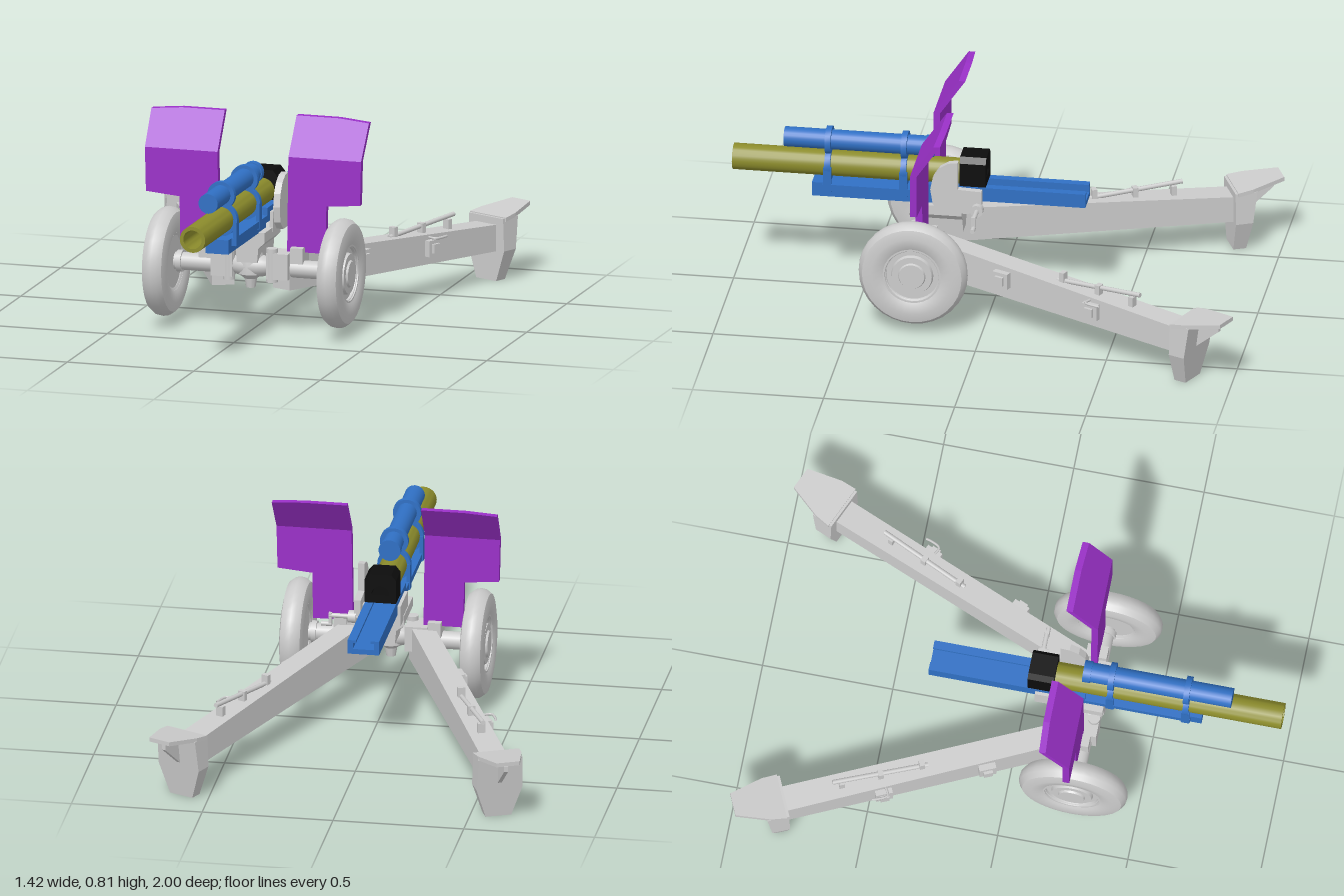
import * as THREE from 'three';
import { toCreasedNormals } from 'three/addons/utils/BufferGeometryUtils.js';

const mat = (color) => new THREE.MeshStandardMaterial({ color, side: THREE.DoubleSide });
const grey = mat(0xcccccc), blue = mat(0x3070c4), olive = mat(0x8c8c2c);
const purple = mat(0x9a30c8), black = mat(0x0c0c0c);
const V2 = (pts) => pts.map(([x, y]) => new THREE.Vector2(x, y));

function add(parent, name, geo, material, x = 0, y = 0, z = 0) {
  const mesh = new THREE.Mesh(geo, material);
  mesh.name = name;
  mesh.position.set(x, y, z);
  parent.add(mesh);
  return mesh;
}
const box = (w, h, d) => new THREE.BoxGeometry(w, h, d);
const lathe = (pts, seg = 28) => toCreasedNormals(new THREE.LatheGeometry(V2(pts), seg), 0.6);
const rodZ = (r, len, seg = 24) => new THREE.CylinderGeometry(r, r, len, seg).rotateX(Math.PI / 2);
const rodX = (r, len, seg = 20) => new THREE.CylinderGeometry(r, r, len, seg).rotateZ(Math.PI / 2);
const plate = (pts, depth) => new THREE.ExtrudeGeometry(new THREE.Shape(V2(pts)), { depth, bevelEnabled: false });
// Hollow sleeve along z
const sleeve = (ro, ri, len) => lathe([[ri, 0], [ro, 0], [ro, len], [ri, len], [ri, 0]]).rotateX(Math.PI / 2);

function moveVertices(geo, rule) {
  const p = geo.attributes.position, v = new THREE.Vector3();
  for (let i = 0; i < p.count; i++) {
    rule(v.fromBufferAttribute(p, i));
    p.setXYZ(i, v.x, v.y, v.z);
  }
  geo.computeVertexNormals();
  return geo;
}

function gun() {
  const g = new THREE.Group();
  g.name = 'gun';
  g.position.x = -0.005;
  add(g, 'barrel', sleeve(0.05, 0.036, 0.89), olive, 0, 0.507, 0.11);

  // Breech block, lower half of the bore closed
  const s = new THREE.Shape(V2([[-0.06, 0.472], [0.06, 0.472], [0.06, 0.565], [0.042, 0.587], [-0.042, 0.587], [-0.06, 0.565]]));
  const hole = new THREE.Path();
  hole.absarc(0, 0.505, 0.034, 0, Math.PI, false);
  s.holes.push(hole);
  add(g, 'breech', new THREE.ExtrudeGeometry(s, { depth: 0.1, bevelEnabled: false }), black, 0, 0, 0.03);

  add(g, 'recoilCylinder', rodZ(0.038, 0.57), blue, 0, 0.603, 0.52);
  add(g, 'recoilCylinderCap', rodZ(0.042, 0.03), blue, 0, 0.603, 0.25);

  // Cradle under the barrel and the open slide behind it
  add(g, 'cradle', box(0.09, 0.055, 0.47), blue, 0, 0.413, 0.46);
  add(g, 'slideFloor', box(0.12, 0.02, 0.6), blue, 0, 0.425, -0.05);
  for (const k of [-1, 1]) {
    add(g, 'slideRail', box(0.02, 0.055, 0.6), blue, k * 0.05, 0.4425, -0.05);
    add(g, 'slideLip', box(0.03, 0.01, 0.6), blue, k * 0.043, 0.465, -0.05);
    add(g, 'cradleRail', box(0.014, 0.025, 0.4), blue, k * 0.052, 0.428, 0.45);
  }

  // Clamps tying recoil cylinder, barrel and cradle together
  for (const z of [0.345, 0.635]) {
    add(g, 'upperClamp', sleeve(0.054, 0.036, 0.022), blue, 0, 0.6, z - 0.011);
    add(g, 'lowerClamp', sleeve(0.064, 0.049, 0.022), blue, 0, 0.507, z - 0.011);
    for (const k of [-1, 1]) add(g, 'clampCheek', box(0.014, 0.1, 0.03), blue, k * 0.056, 0.46, z);
    add(g, 'clampFoot', box(0.12, 0.03, 0.035), blue, 0, 0.425, z);
  }
  return g;
}

function carriage() {
  const g = new THREE.Group();
  g.name = 'carriage';
  // Saddle turning on a central pivot
  add(g, 'saddle', plate([[-0.08, 0.388], [-0.08, 0.35], [-0.05, 0.325], [-0.045, 0.27], [0.035, 0.27],
    [0.04, 0.325], [0.065, 0.35], [0.065, 0.388]], 0.2), grey, 0, 0, 0.12);
  for (const x of [-0.07, 0.06]) add(g, 'saddleCheek', box(0.015, 0.08, 0.16), grey, x, 0.41, 0.14);
  add(g, 'pivotPin', lathe([[0, 0.165], [0.018, 0.165], [0.024, 0.2], [0.05, 0.22], [0.05, 0.285], [0.035, 0.32], [0, 0.32]], 20),
    grey, -0.005, 0, 0.27);
  add(g, 'pivotHousing', new THREE.SphereGeometry(1, 20, 12).scale(0.1, 0.045, 0.05), grey, 0, 0.25, 0.27);

  // Elevating sector and crank on the left
  add(g, 'elevatingSector', plate([[-0.235, 0.47], [-0.225, 0.41], [-0.19, 0.378], [-0.09, 0.378], [-0.04, 0.41], [-0.04, 0.472],
    [-0.13, 0.476], [-0.13, 0.586], [-0.165, 0.582], [-0.2, 0.56], [-0.225, 0.52]], 0.026).rotateY(Math.PI / 2), grey, 0.072, 0, 0);
  add(g, 'crankShaft', rodX(0.009, 0.13), grey, 0.13, 0.4, 0.055);
  add(g, 'crankHub', rodX(0.024, 0.03), grey, 0.105, 0.4, 0.055);
  add(g, 'crankArm', box(0.012, 0.05, 0.016), grey, 0.19, 0.385, 0.055);
  add(g, 'crankGrip', rodX(0.009, 0.04), grey, 0.205, 0.365, 0.055);
  return g;
}

function wheel(s) {
  const g = new THREE.Group();
  g.name = s > 0 ? 'leftWheel' : 'rightWheel';
  g.position.set(s * 0.345 + 0.004, 0.24, 0.26);
  const turn = -s * Math.PI / 2;
  // Tyre and dished disc in one profile, running from inner to outer face
  add(g, 'tyre', lathe([[0.1, -0.03], [0.12, -0.041], [0.155, -0.046], [0.19, -0.038], [0.205, -0.018], [0.208, 0],
    [0.205, 0.018], [0.19, 0.038], [0.155, 0.046], [0.12, 0.041], [0.1, 0.03]], 32).rotateZ(turn), grey);
  add(g, 'wheelDisc', lathe([[0, -0.026], [0.104, -0.026], [0.11, -0.036], [0.112, 0.036], [0.104, 0.036], [0.1, 0.02],
    [0.08, 0.02], [0.076, 0.034], [0.052, 0.034], [0.048, 0.042], [0, 0.042]], 32).rotateZ(turn), grey);
  return g;
}

function shield(s) {
  const g = new THREE.Group();
  g.name = s > 0 ? 'leftShield' : 'rightShield';
  const m = (pts) => pts.map(([x, y]) => [s * x, y]);
  const bend = 0.675;
  add(g, 'shieldLower', plate(m([[0.135, 0.31], [0.287, 0.31], [0.29, 0.493], [0.423, 0.505], [0.427, bend], [0.14, bend]]), 0.025),
    purple, 0, 0, 0.235);
  // Upper part leans back
  const top = plate(m([[0.14, bend], [0.427, bend], [0.43, 0.805], [0.31, 0.815], [0.142, 0.815]]), 0.025);
  add(g, 'shieldUpper', moveVertices(top, (v) => { v.z -= (v.y - bend) * 0.69; }), purple, 0, 0, 0.235);
  add(g, 'shieldBracket', box(0.05, 0.06, 0.08), grey, s * 0.18, 0.3, 0.25);
  return g;
}

function trail(s) {
  const g = new THREE.Group();
  g.name = s > 0 ? 'leftTrail' : 'rightTrail';
  g.position.set(s * 0.115, 0, 0.27);
  g.rotation.y = -s * 0.4145;
  const L = 1.18;
  const topY = (d) => 0.305 - 0.088 * d / L;
  const lowY = (d) => 0.165 - 0.05 * d / L;

  // Tapering box beam
  add(g, 'trailBeam', moveVertices(box(0.1, 1, L), (v) => {
    v.z -= L / 2;
    v.y = v.y > 0 ? topY(-v.z) : lowY(-v.z);
    if (v.z > -0.01) v.x *= 0.85;
  }), grey);

  // Spade: tapering blade with a flange on top
  const blade = plate([[-0.085, 0.245], [-0.09, 0.12], [-0.05, 0], [0.05, 0], [0.09, 0.12], [0.085, 0.245]], 0.05);
  add(g, 'spadeBlade', moveVertices(blade, (v) => {
    if (v.z < 0.01) v.z -= 0.035 * v.y / 0.245;
  }), grey, 0, 0, -L - 0.04);
  const flange = plate([[-0.09, 0], [0.09, 0], [0.085, 0.06], [0.045, 0.19], [-0.045, 0.19], [-0.085, 0.06]], 0.016).rotateX(-Math.PI / 2);
  add(g, 'spadeFlange', moveVertices(flange, (v) => { v.y -= v.z * 0.14; }), grey, 0, 0.233, -L);
  add(g, 'spadeRib', moveVertices(box(0.016, 0.12, 0.12), (v) => {
    if (v.z < 0 && v.y < 0) v.y = 0.04;
  }), grey, 0, 0.185, -L - 0.1);

  // Handspike clipped on top
  const slope = Math.atan(0.088 / L);
  add(g, 'handspike', rodZ(0.009, 0.37, 10), grey, 0, topY(0.8) + 0.026, -0.8).rotation.x = slope;
  for (const d of [0.64, 0.8, 0.95]) add(g, 'handspikeClip', box(0.028, 0.045, 0.02), grey, 0, topY(d) + 0.015, -d);

  // Fittings on the outer side
  for (const d of [0.4, 0.8]) {
    add(g, 'sideFitting', box(0.025, 0.062, 0.065), grey, s * 0.057, topY(d) - 0.05, -d);
    add(g, 'sideFittingPad', box(0.014, 0.035, 0.035), grey, s * 0.074, topY(d) - 0.05, -d);
  }
  const hook = new THREE.CatmullRomCurve3([[0.045, 0.79], [0.08, 0.79], [0.085, 0.83], [0.082, 0.85]]
    .map(([x, d]) => new THREE.Vector3(s * x, topY(0.8) - 0.01, -d)));
  add(g, 'hook', new THREE.TubeGeometry(hook, 12, 0.005, 6), grey);
  return g;
}

function axle(s) {
  const g = new THREE.Group();
  g.name = s > 0 ? 'leftAxle' : 'rightAxle';
  add(g, 'trailHead', box(0.085, 0.1, 0.1), grey, s * 0.11, 0.258, 0.26);
  add(g, 'hingePin', new THREE.CylinderGeometry(0.022, 0.022, 0.13, 16), grey, s * 0.085, 0.26, 0.29);
  add(g, 'axleTube', rodX(0.034, 0.15), grey, s * 0.23, 0.245, 0.26);
  add(g, 'axleCollar', rodX(0.042, 0.02), grey, s * 0.285, 0.245, 0.26);
  return g;
}

export function createModel() {
  const model = new THREE.Group();
  model.name = 'fieldGun';
  model.add(gun(), carriage());
  for (const s of [1, -1]) model.add(wheel(s), shield(s), trail(s), axle(s));
  return model;
}
